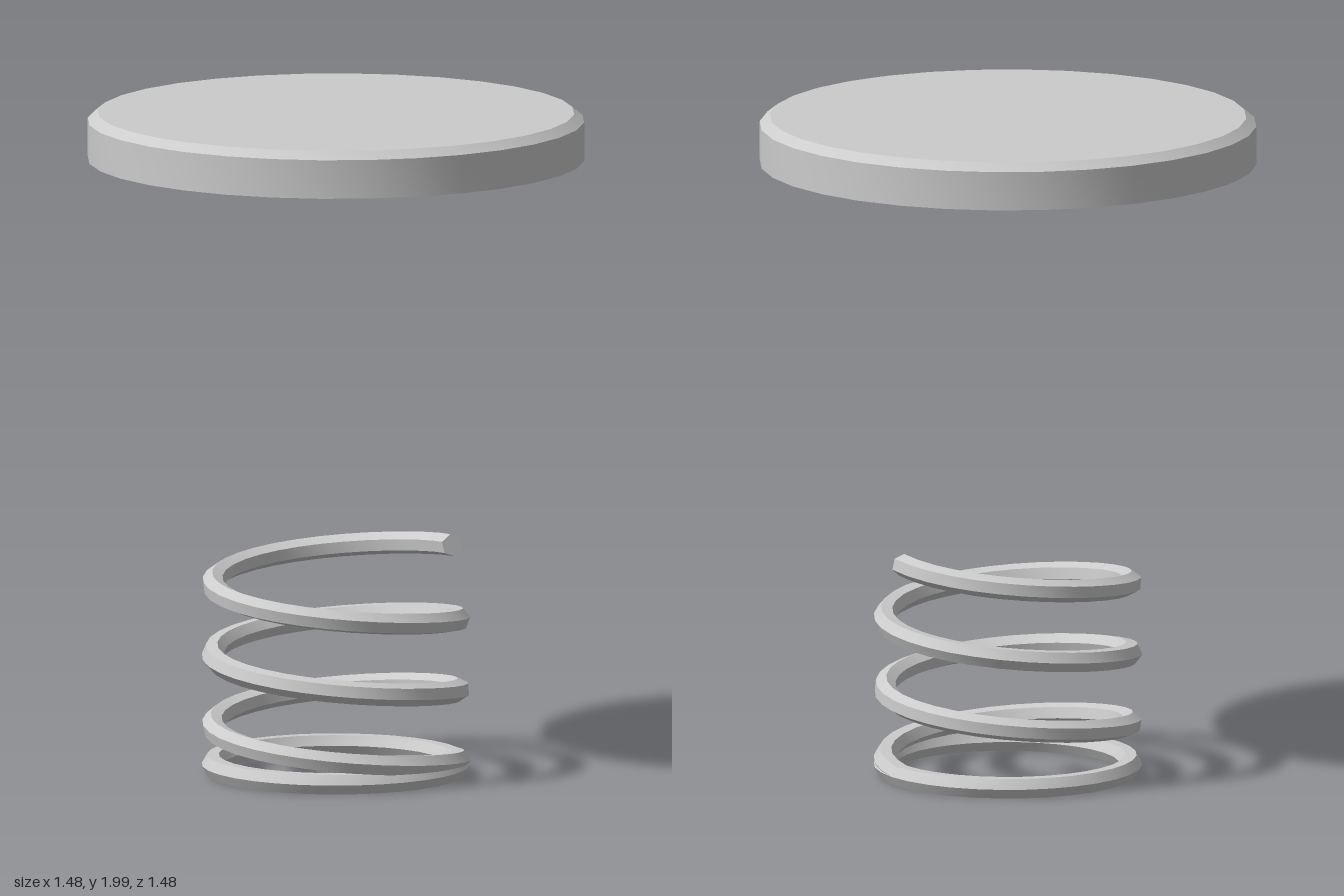
import * as THREE from 'three';
import { toCreasedNormals } from 'three/addons/utils/BufferGeometryUtils.js';

const COIL_RADIUS = 0.366, WIRE = 0.034, BASE_Y = 0.035, PITCH = 0.2133, TURNS = 3, SIDES = 6;
const CREASE = 0.6;

// Rising helix, starting and ending at +x, turning towards +z
class Helix extends THREE.Curve {
  getPoint(t, target = new THREE.Vector3()) {
    const a = t * TURNS * Math.PI * 2;
    return target.set(COIL_RADIUS * Math.cos(a), BASE_Y + PITCH * TURNS * t, COIL_RADIUS * Math.sin(a));
  }
}

// Flat polygon closing one end of a tube, taken from its ring of vertices
function tubeCap(tube, ring) {
  const pos = tube.attributes.position, pts = [];
  const corner = (i) => new THREE.Vector3().fromBufferAttribute(pos, ring * (SIDES + 1) + i);
  for (let i = 1; i < SIDES - 1; i++) pts.push(corner(0), corner(i), corner(i + 1));
  const geo = new THREE.BufferGeometry().setFromPoints(pts);
  geo.computeVertexNormals();
  return geo;
}

export function createModel() {
  const group = new THREE.Group();
  const grey = new THREE.MeshStandardMaterial({ color: 0xcccccc });
  const greyDouble = new THREE.MeshStandardMaterial({ color: 0xcccccc, side: THREE.DoubleSide });
  const add = (name, geo, mat = grey) => {
    const mesh = new THREE.Mesh(geo, mat);
    mesh.name = name;
    group.add(mesh);
    return mesh;
  };

  // Floating round plate with a chamfered top edge
  const profile = [[0, 1.86], [0.74, 1.86], [0.74, 1.976], [0.71, 2], [0, 2]];
  const plate = new THREE.LatheGeometry(profile.map(([r, y]) => new THREE.Vector2(r, y)), 32);
  add('plate', toCreasedNormals(plate, CREASE));

  // Coil of hexagonal wire with closed ends
  const segments = 32 * TURNS;
  const coil = new THREE.TubeGeometry(new Helix(), segments, WIRE, SIDES, false);
  add('springCoil', toCreasedNormals(coil, CREASE));
  add('springLowerEnd', tubeCap(coil, 0), greyDouble);
  add('springUpperEnd', tubeCap(coil, segments), greyDouble);

  // Flat ring under the coil
  const ring = new THREE.TorusGeometry(COIL_RADIUS, WIRE, SIDES, 32);
  ring.rotateX(-Math.PI / 2);
  add('baseRing', toCreasedNormals(ring, CREASE)).position.y = BASE_Y;

  return group;
}
